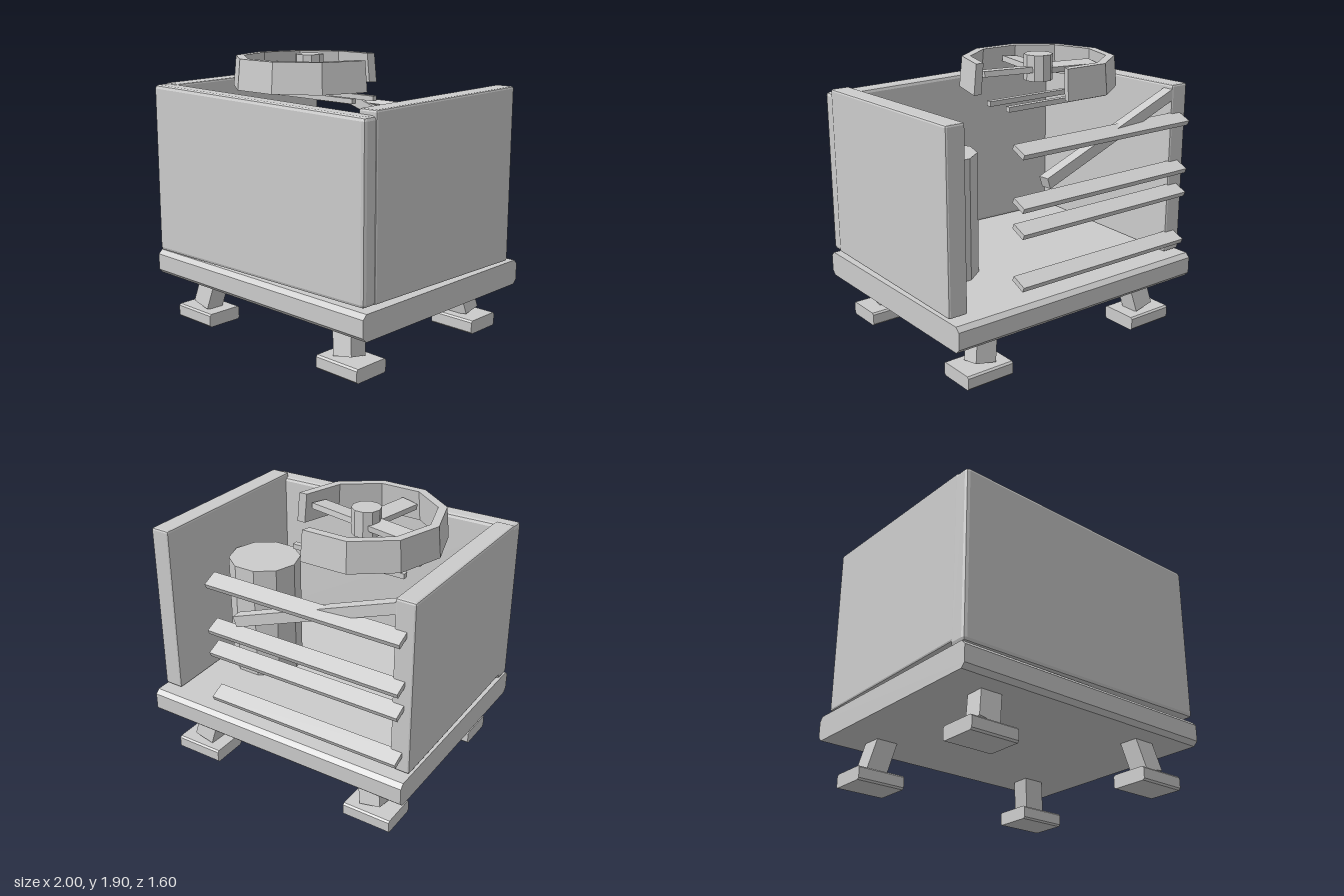
import * as THREE from 'three';
import { RoundedBoxGeometry } from 'three/addons/geometries/RoundedBoxGeometry.js';

export function createModel() {
  const model = new THREE.Group();
  model.name = 'damagedCoolingUnit';
  const grey = new THREE.MeshStandardMaterial({ color: 0xcccccc, side: THREE.DoubleSide });
  grey.name = 'light grey metal';

  // Faceted normals for every part
  const facet = (geo) => {
    const g = geo.index ? geo.toNonIndexed() : geo;
    g.computeVertexNormals();
    return g;
  };
  const add = (name, geo, x, y, z, rx = 0, ry = 0, rz = 0, parent = model) => {
    const m = new THREE.Mesh(facet(geo), grey);
    m.name = name;
    m.position.set(x, y, z);
    m.rotation.set(rx, ry, rz);
    parent.add(m);
    return m;
  };
  const chamferBox = (w, h, d, c) => new RoundedBoxGeometry(w, h, d, 1, c);

  // Block with chamfered long edges, running along x
  const barX = (w, h, d, c) => {
    const a = d / 2, b = h / 2;
    const s = new THREE.Shape([[a - c, -b], [a, c - b], [a, b - c], [a - c, b],
      [c - a, b], [-a, b - c], [-a, c - b], [c - a, -b]].map(p => new THREE.Vector2(...p)));
    return new THREE.ExtrudeGeometry(s, { depth: w, bevelEnabled: false })
      .translate(0, 0, -w / 2).rotateY(Math.PI / 2);
  };

  // Slightly warped sheet: height changes along one axis
  const warp = (geo, axis, k) => {
    const p = geo.attributes.position;
    for (let i = 0; i < p.count; i++) {
      const t = axis === 'x' ? p.getX(i) : p.getZ(i);
      p.setY(i, p.getY(i) * (1 + k * t));
    }
    return geo;
  };

  // Base tray
  add('base', barX(2, 0.175, 1.6, 0.03), 0, 0.41, 0);

  // Feet and splayed legs
  for (const sx of [-1, 1]) for (const sz of [-1, 1]) {
    add('footPad', barX(0.35, 0.095, 0.27, 0.012), sx * 0.705, 0.05, sz * 0.587);
    add('leg', new THREE.BoxGeometry(0.155, 0.27, 0.135),
      sx * 0.675, 0.235, sz * 0.573, -sz * 0.19, 0, sx * 0.2);
  }

  // Casing panels
  add('frontPanel', warp(chamferBox(1.985, 1.17, 0.135, 0.025), 'x', -0.025), -0.005, 1.095, 0.718);
  for (const sx of [-1, 1]) {
    add('sidePanel', warp(chamferBox(0.14, 1.19, 1.38, 0.014), 'z', -0.025), sx * 0.925, 1.115, 0);
  }

  // Remaining rear slats, and one hanging loose
  for (const y of [1.485, 1.145, 0.975, 0.625]) {
    add('rearSlat', new THREE.BoxGeometry(1.43, 0.036, 0.115), -0.225, y, -0.722, -0.42);
  }
  add('looseSlat', new THREE.BoxGeometry(1.22, 0.075, 0.075), -0.295, 1.455, -0.685, 0, 0.062, -0.335);

  // Compressor drum
  add('compressor', new THREE.CylinderGeometry(0.255, 0.255, 0.86, 10).rotateY(Math.PI / 10), 0.59, 0.91, 0);

  // Fan
  const fan = new THREE.Group();
  fan.name = 'fan';
  fan.position.set(-0.245, 0, 0);
  model.add(fan);

  // Broken shroud: eight of ten sides, closed at both ends
  const ring = [[0.545, 1.68], [0.525, 1.89], [0.465, 1.89], [0.485, 1.68], [0.545, 1.68]]
    .map(p => new THREE.Vector2(...p));
  const sweep = Math.PI * 1.6;
  add('shroud', new THREE.LatheGeometry(ring, 8, Math.PI / 2 - sweep, sweep), 0, 0, 0, 0, 0, 0, fan);
  for (const a of [0, sweep]) {
    add('shroudEnd', new THREE.ShapeGeometry(new THREE.Shape(ring.slice(0, 4))), 0, 0, 0, 0, -a, 0, fan);
  }

  // Hub and three surviving blades
  add('hub', new THREE.CylinderGeometry(0.1, 0.1, 0.18, 10).rotateY(Math.PI / 10), 0, 1.815, 0, 0, 0, 0, fan);
  for (let i = 0; i < 3; i++) {
    const blade = new THREE.BoxGeometry(0.36, 0.04, 0.13).rotateX(0.1).translate(0.255, 0, 0);
    add('blade', blade, 0, 1.8, 0, 0, -(0.2 + i * Math.PI / 2), 0, fan);
  }

  // Grille bars beneath the fan
  for (const z of [-0.21, 0]) {
    add('grilleBar', new THREE.BoxGeometry(0.84, 0.035, 0.04), 0.005, 1.61, z, 0, 0, 0, fan);
  }
  return model;
}
